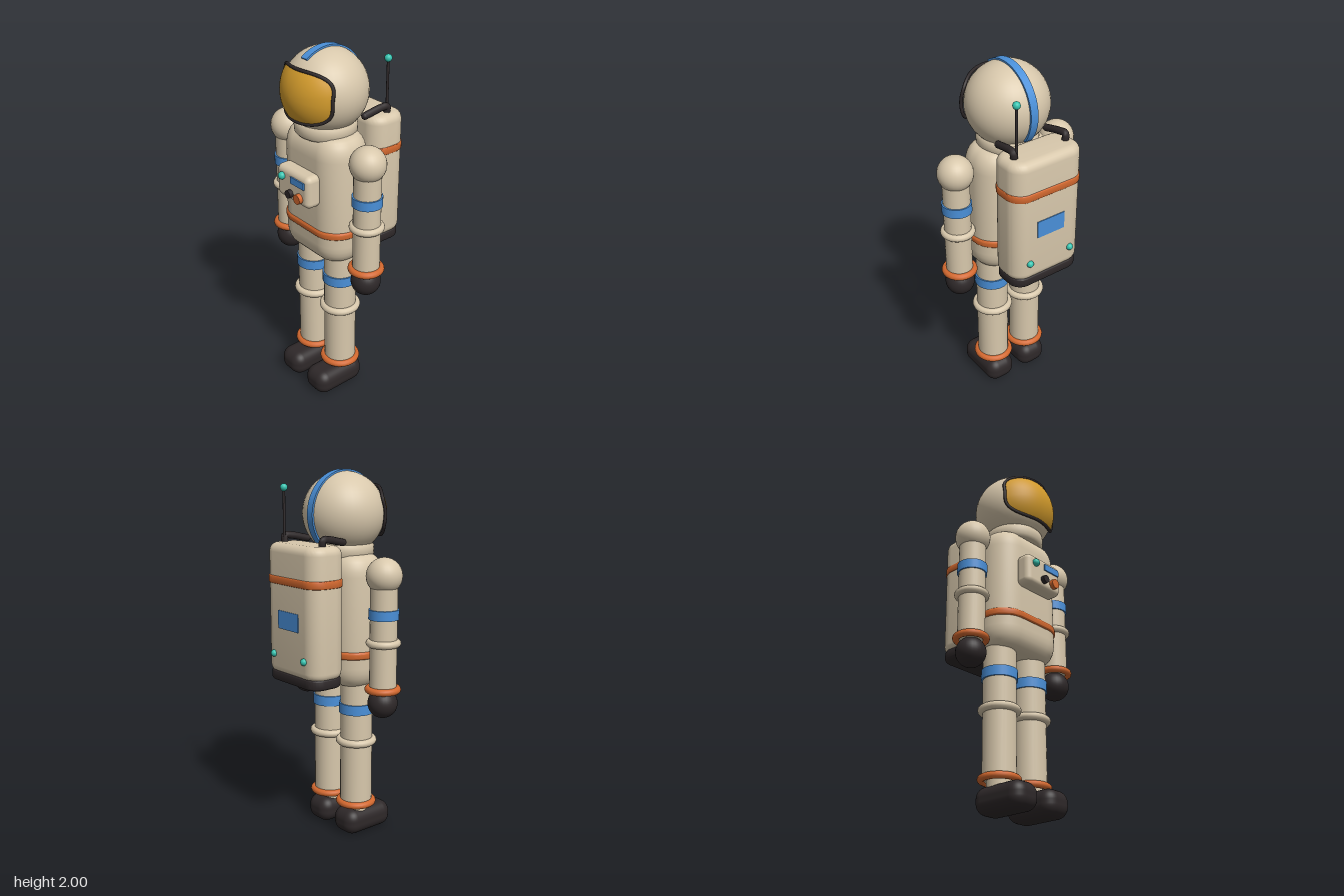
import * as THREE from 'three';
import { mergeVertices, toCreasedNormals } from 'three/addons/utils/BufferGeometryUtils.js';
import { RoundedBoxGeometry } from 'three/addons/geometries/RoundedBoxGeometry.js';

const mat = (name, color) => {
  const m = new THREE.MeshStandardMaterial({ color });
  m.name = name;
  return m;
};

// Upright slab with a rounded-rectangle plan and softened top and bottom edges
function slab(hw, hd, r, y0, y1, inset, rise) {
  const w = hw - inset, d = hd - inset, c = r - inset;
  const s = new THREE.Shape();
  s.moveTo(-w + c, -d).lineTo(w - c, -d);
  s.absarc(w - c, -d + c, c, -Math.PI / 2, 0);
  s.absarc(w - c, d - c, c, 0, Math.PI / 2);
  s.absarc(-w + c, d - c, c, Math.PI / 2, Math.PI);
  s.absarc(-w + c, -d + c, c, Math.PI, Math.PI * 1.5);
  let g = new THREE.ExtrudeGeometry(s, {
    depth: y1 - y0 - 2 * rise, bevelSize: inset, bevelThickness: rise, bevelSegments: 6, curveSegments: 8,
  });
  g.rotateX(-Math.PI / 2).translate(0, y0 + rise, 0);
  g.deleteAttribute('uv');
  g.deleteAttribute('normal');
  g = mergeVertices(g, 1e-5);
  return toCreasedNormals(g, 0.6);
}

// Curved visor sheet: a rounded outline filled by rings and lifted onto a sphere
const VISOR = { a: 0.198, b: 0.133, R: 0.231, dy: 0.01 };
function visorPoint(t, angle) {
  const p = (v) => Math.sign(v) * Math.pow(Math.abs(v), 0.66);
  const x = VISOR.a * t * p(Math.cos(angle));
  const y = VISOR.b * t * p(Math.sin(angle)) + VISOR.dy;
  return new THREE.Vector3(x, y, Math.sqrt(VISOR.R ** 2 - x * x - y * y));
}
function visorGeometry(rings = 12, n = 64) {
  const pos = [], idx = [];
  for (let i = 0; i <= rings; i++)
    for (let j = 0; j < n; j++) pos.push(...visorPoint(i / rings, (j / n) * Math.PI * 2).toArray());
  for (let i = 0; i < rings; i++)
    for (let j = 0; j < n; j++) {
      const a = i * n + j, b = i * n + ((j + 1) % n), c = a + n, d = b + n;
      if (i > 0) idx.push(a, d, b);
      idx.push(a, c, d);
    }
  const g = new THREE.BufferGeometry();
  g.setAttribute('position', new THREE.Float32BufferAttribute(pos, 3));
  g.setIndex(idx);
  g.computeVertexNormals();
  return g;
}

export function createModel() {
  const root = new THREE.Group();
  root.name = 'astronaut';
  const suit = mat('suit cream', 0xd8c8ac), blue = mat('trim blue', 0x4a90d9);
  const orange = mat('trim orange', 0xd4692f), dark = mat('rubber black', 0x2e2829);
  const gold = mat('visor gold', 0xd49c2c), teal = mat('light teal', 0x35c4b0);
  const Z = 0.07; // depth of the body axis

  const add = (parent, name, geo, m, x = 0, y = 0, z = 0) => {
    const mesh = new THREE.Mesh(geo, m);
    mesh.name = name;
    mesh.position.set(x, y, z);
    parent.add(mesh);
    return mesh;
  };
  const group = (name, x = 0, y = 0, z = 0) => {
    const g = new THREE.Group();
    g.name = name;
    g.position.set(x, y, z);
    root.add(g);
    return g;
  };
  const ball = (r) => new THREE.SphereGeometry(r, 28, 20);
  const tubeY = (r, h, r2 = r) => new THREE.CylinderGeometry(r, r2, h, 28);
  const ring = (outer, tube) => new THREE.TorusGeometry(outer - tube, tube, 12, 32).rotateX(Math.PI / 2);

  // Torso, slightly narrower towards the shoulders
  const torsoGeo = slab(0.238, 0.15, 0.135, 0.86, 1.565, 0.07, 0.11);
  const p = torsoGeo.attributes.position;
  for (let i = 0; i < p.count; i++)
    p.setX(i, p.getX(i) * (1 - 0.09 * Math.max(0, p.getY(i) - 1.0)));
  add(root, 'torso', torsoGeo, suit, 0, 0, Z);
  add(root, 'belt', slab(0.244, 0.158, 0.142, 1.02, 1.063, 0.012, 0.014), orange, 0, 0, Z);

  // Neck collar
  const collar = [[0.1, 1.54], [0.15, 1.543], [0.162, 1.557], [0.164, 1.585], [0.162, 1.608], [0.15, 1.624], [0.1, 1.628]];
  add(root, 'collar', new THREE.LatheGeometry(collar.map(([x, y]) => new THREE.Vector2(x, y)), 40), suit, 0, 0, Z);

  // Helmet with visor, rim and crest stripe
  const helmet = group('helmet', 0, 1.772, Z);
  add(helmet, 'helmetShell', new THREE.SphereGeometry(0.22, 40, 28), suit);
  add(helmet, 'visor', visorGeometry(), gold);
  const rimPts = [];
  for (let i = 0; i < 64; i++) rimPts.push(visorPoint(1, (i / 64) * Math.PI * 2));
  add(helmet, 'visorRim', new THREE.TubeGeometry(new THREE.CatmullRomCurve3(rimPts, true), 96, 0.009, 8, true), dark);
  const arc = new THREE.Shape();
  const from = 0.94, to = Math.PI + 0.7;
  arc.absarc(0, 0, 0.228, from, to, false);
  arc.absarc(0, 0, 0.212, to, from, true);
  const crest = new THREE.ExtrudeGeometry(arc, { depth: 0.044, bevelEnabled: false, curveSegments: 40 });
  crest.translate(0, 0, -0.022).rotateY(-Math.PI / 2);
  add(helmet, 'crestStripe', toCreasedNormals(crest, 0.6), blue);

  // Arms and legs
  for (const side of [-1, 1]) {
    const label = side > 0 ? 'left' : 'right';
    const arm = group(label + 'Arm', side * 0.325, 0, Z);
    add(arm, 'shoulder', ball(0.095), suit, 0, 1.473, 0);
    add(arm, 'sleeve', tubeY(0.072, 0.61), suit, 0, 1.17, 0);
    add(arm, 'armBand', tubeY(0.08, 0.052), blue, 0, 1.275, 0);
    add(arm, 'elbowRing', ring(0.093, 0.02), suit, 0, 1.123, 0);
    add(arm, 'wristCuff', ring(0.097, 0.019), orange, 0, 0.873, 0);
    add(arm, 'glove', ball(0.08), dark, 0, 0.797, 0);

    const leg = group(label + 'Leg', side * 0.114, 0, Z);
    add(leg, 'trouser', tubeY(0.088, 0.76), suit, 0, 0.55, 0);
    add(leg, 'ankle', tubeY(0.065, 0.08), suit, 0, 0.15, 0);
    add(leg, 'thighBand', tubeY(0.096, 0.056), blue, 0, 0.728, 0);
    add(leg, 'kneeRing', ring(0.113, 0.021), suit, 0, 0.538, 0);
    add(leg, 'ankleCuff', ring(0.112, 0.019), orange, 0, 0.178, 0);
    add(leg, 'boot', new RoundedBoxGeometry(0.175, 0.145, 0.315, 5, 0.062), dark, 0, 0.0725, 0.046);
  }

  // Chest control box
  const chest = group('chestBox', 0, 1.295, 0.25);
  const knob = (r, h) => new THREE.CylinderGeometry(r, r, h, 18).rotateX(Math.PI / 2);
  add(chest, 'chestCase', new RoundedBoxGeometry(0.264, 0.18, 0.094, 4, 0.032), suit);
  add(chest, 'chestLight', ball(0.021), teal, -0.076, 0.038, 0.052);
  add(chest, 'chestScreen', new THREE.BoxGeometry(0.11, 0.037, 0.009), blue, 0.05, 0.04, 0.05);
  add(chest, 'darkKnob', knob(0.022, 0.035), dark, -0.011, -0.041, 0.052);
  add(chest, 'orangeKnob', knob(0.027, 0.035), orange, 0.064, -0.041, 0.052);

  // Life-support backpack
  const pack = group('backpack', 0, 0, -0.19);
  add(pack, 'packCase', slab(0.217, 0.111, 0.085, 0.93, 1.628, 0.045, 0.045), suit);
  add(pack, 'packStripe', slab(0.222, 0.116, 0.09, 1.418, 1.46, 0.006, 0.006), orange);
  add(pack, 'packBase', slab(0.21, 0.106, 0.075, 0.888, 0.95, 0.018, 0.018), dark);
  add(pack, 'packPanel', new THREE.BoxGeometry(0.17, 0.096, 0.009), blue, 0, 1.233, -0.111);
  for (const side of [-1, 1]) {
    add(pack, 'packLight', ball(0.019), teal, side * 0.13, 1.04, -0.112);
    // Hose from the pack top towards the neck
    const v = (x, y, z) => new THREE.Vector3(side * x, y, z);
    const path = new THREE.CatmullRomCurve3([v(0.155, 1.6, -0.01), v(0.162, 1.658, -0.008), v(0.158, 1.658, 0.03), v(0.15, 1.637, 0.13)]);
    add(pack, 'hose', new THREE.TubeGeometry(path, 24, 0.019, 10), dark);
    add(pack, 'hoseEnd', new THREE.SphereGeometry(0.019, 10, 8), dark, side * 0.15, 1.637, 0.13);
  }
  add(pack, 'antenna', tubeY(0.007, 0.29), dark, 0.15, 1.76, -0.02);
  add(pack, 'antennaTip', ball(0.02), teal, 0.15, 1.908, -0.02);

  return root;
}
